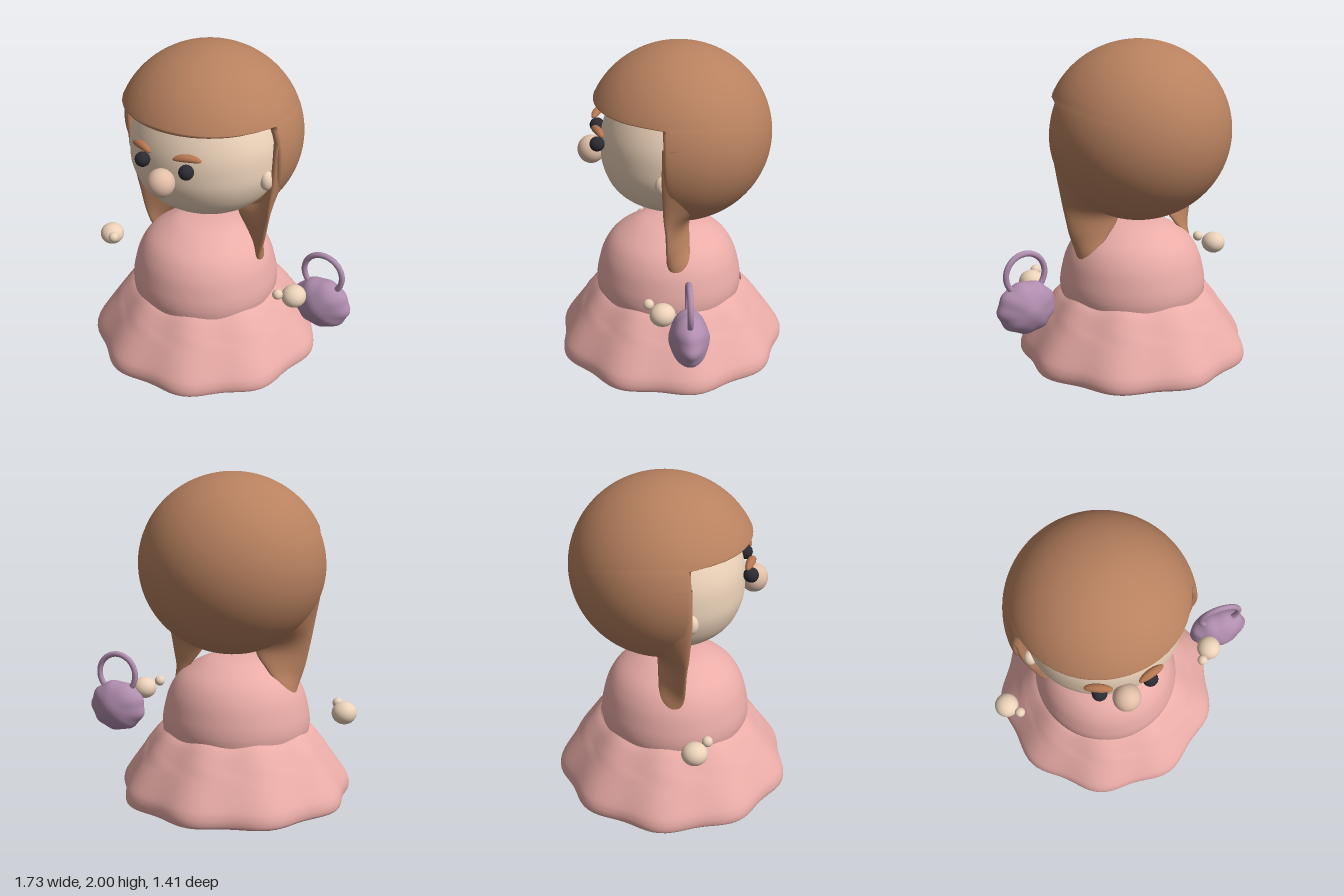
import * as THREE from 'three';
import { mergeVertices } from 'three/addons/utils/BufferGeometryUtils.js';

const CX = -0.117; // the figure's own centre line
const mat = (color, side = THREE.FrontSide) =>
  new THREE.MeshStandardMaterial({ color, side, roughness: 0.8 });
const HAIR = mat(0xb8815f, THREE.DoubleSide);
const SKIN = mat(0xecd2b9);
const NOSE = mat(0xe2bfa8);
const DRESS = mat(0xeaaca7, THREE.DoubleSide);
const BAG = mat(0xb08dae);
const EYE = mat(0x2b2b33);
const BROW = mat(0xb5764f);

function add(parent, name, geometry, material, x = 0, y = 0, z = 0) {
  const mesh = new THREE.Mesh(geometry, material);
  mesh.name = name;
  mesh.position.set(x, y, z);
  parent.add(mesh);
  return mesh;
}

const ball = (rx, ry = rx, rz = rx) => new THREE.SphereGeometry(1, 32, 24).scale(rx, ry, rz);

// Move every vertex by a rule, then weld and smooth
function deform(geometry, rule) {
  const p = geometry.attributes.position;
  const v = new THREE.Vector3();
  for (let i = 0; i < p.count; i++) {
    v.fromBufferAttribute(p, i);
    rule(v);
    p.setXYZ(i, v.x, v.y, v.z);
  }
  geometry.deleteAttribute('uv');
  geometry.deleteAttribute('normal');
  const welded = mergeVertices(geometry, 1e-5);
  welded.computeVertexNormals();
  return welded;
}

// Smooth lathe through a few [radius, y] points
function lathe(points, sides = 72, steps = 40) {
  const curve = new THREE.SplineCurve(points.map(([r, y]) => new THREE.Vector2(r, y)));
  const profile = curve.getPoints(steps);
  profile.forEach((q) => (q.x = Math.max(q.x, 0)));
  return new THREE.LatheGeometry(profile, sides);
}

// Closed rings of points: f(u, v), u wraps round, v runs along
function rings(f, nu, nv) {
  const pos = [];
  const index = [];
  for (let j = 0; j <= nv; j++)
    for (let i = 0; i < nu; i++) pos.push(...f(i / nu, j / nv));
  for (let j = 0; j < nv; j++)
    for (let i = 0; i < nu; i++) {
      const a = j * nu + i;
      const b = j * nu + ((i + 1) % nu);
      index.push(a, b, b + nu, a, b + nu, a + nu);
    }
  const g = new THREE.BufferGeometry();
  g.setAttribute('position', new THREE.Float32BufferAttribute(pos, 3));
  g.setIndex(index);
  const welded = mergeVertices(g, 1e-5);
  welded.computeVertexNormals();
  return welded;
}

// Hair cap: shell swept from the back pole to the edge of the face opening, then back inside
function hairCap() {
  const OUT = 40, RIM = 8, IN = 24, N = OUT + RIM + IN;
  return rings((u, v) => {
    const a = u * Math.PI * 2;
    const s = Math.sin(a);
    const cut = s > 0 ? 0.22 : 0.22 + 0.32 * s * Math.abs(s);
    let edge = Math.acos(-cut);
    if (s > 0.385) edge = Math.max(edge, Math.PI - Math.asin(0.385 / s));
    const k = Math.round(v * N);
    let phi, r;
    if (k <= OUT) {
      phi = (edge - 0.04) * (k / OUT);
      r = 1;
    } else if (k <= OUT + RIM) {
      const t = ((k - OUT) / RIM) * Math.PI;
      phi = edge - 0.04 + 0.04 * Math.sin(t);
      r = 0.955 + 0.045 * Math.cos(t);
    } else {
      phi = (edge - 0.04) * (1 - (k - OUT - RIM) / IN);
      r = 0.91;
    }
    return [
      0.565 * r * Math.sin(phi) * Math.cos(a),
      0.545 * r * Math.sin(phi) * s,
      -0.563 * r * Math.cos(phi),
    ];
  }, 128, N);
}

// Side lock: flat tapering sections from the front outer edge to the back inner edge
function hairLock() {
  const curve = (rows) => new THREE.CatmullRomCurve3(rows.map((r) => new THREE.Vector3(...r)));
  const front = curve([[0.52, 1.55, 0.04], [0.505, 1.32, 0.045], [0.465, 1.1, 0.04],
    [0.435, 0.95, 0.035], [0.415, 0.84, 0.03], [0.39, 0.74, 0.02], [0.38, 0.68, 0]]);
  const back = curve([[0.51, 1.55, -0.1], [0.48, 1.32, -0.12], [0.37, 1.1, -0.12],
    [0.2, 0.95, -0.09], [0.26, 0.84, -0.085], [0.34, 0.74, -0.08], [0.37, 0.68, -0.06]]);
  const ROWS = 36;
  return rings((u, v) => {
    const t = Math.min(v * (ROWS + 1) / ROWS, 1);
    const A = front.getPoint(t);
    const B = back.getPoint(t);
    const mid = A.clone().add(B).multiplyScalar(0.5);
    const half = A.clone().sub(B).multiplyScalar(0.5);
    half.y = 0;
    const w = half.length();
    const d = half.clone().normalize();
    const th = 0.034 - 0.014 * t;
    const closed = v > ROWS / (ROWS + 1) + 1e-6 ? 0 : 1; // last ring shuts the tip
    const a = u * Math.PI * 2;
    const c = Math.cos(a) * (w + th) * closed;
    const s = Math.sin(a) * th * 1.15 * closed;
    return [mid.x + d.x * c - d.z * s, mid.y, mid.z + d.z * c + d.x * s];
  }, 28, ROWS + 1);
}

// Skirt: thick flared cone, its hem swelling into nine soft folds
function skirt() {
  const outer = [[0.675, 0.006], [0.69, 0.025], [0.69, 0.07], [0.665, 0.13], [0.57, 0.28], [0.49, 0.39], [0.45, 0.43]];
  const inner = [[0.425, 0.41], [0.46, 0.37], [0.54, 0.26], [0.63, 0.12], [0.65, 0.04], [0.655, 0.008]];
  return deform(lathe([...inner, ...outer], 108, 60), (v) => {
    const a = Math.atan2(v.x, -v.z);
    const low = 1 - v.y / 0.43;
    const k = 1 + 0.012 * low + 0.03 * Math.cos(9 * a) * (0.15 + 0.85 * low);
    v.x *= k;
    v.z *= k;
    if (v.y > 0.3) v.y += 0.008 * Math.cos(9 * a);
  });
}

// Bag: plump flattened pouch with shallow ribs, narrowing to its side seams
function bagBody() {
  return deform(new THREE.SphereGeometry(1, 48, 32), (v) => {
    const a = Math.atan2(v.y, v.x);
    const k = 1 + 0.025 * Math.cos(9 * a + 0.6) * Math.hypot(v.x, v.y);
    const pinch = 1 - 0.25 * v.x * v.x + 0.04 * Math.cos(5 * v.y) * Math.cos(6 * v.x);
    v.set(v.x * 0.186 * k, v.y * 0.16 * k, v.z * 0.117 * pinch);
  });
}

export function createModel() {
  const model = new THREE.Group();
  model.name = 'figure';
  const body = new THREE.Group();
  body.name = 'body';
  body.position.x = CX;
  model.add(body);

  // Dress
  add(body, 'skirt', skirt(), DRESS);
  const top = lathe([[0.45, 0.41], [0.455, 0.47], [0.445, 0.55], [0.41, 0.67], [0.34, 0.77], [0.21, 0.85], [0.1, 0.877], [0, 0.882]]);
  add(body, 'dressTop', top, DRESS, 0, 0, 0.012);

  // Head
  const head = lathe([[0, 0.955], [0.09, 0.972], [0.26, 1.035], [0.39, 1.13], [0.455, 1.26], [0.465, 1.38],
    [0.45, 1.5], [0.395, 1.63], [0.31, 1.75], [0.18, 1.84], [0, 1.87]]);
  add(body, 'head', head.scale(1, 1, 0.91), SKIN);
  add(body, 'nose', ball(0.083, 0.087, 0.083), NOSE, 0, 1.345, 0.48);
  for (const s of [-1, 1]) {
    const side = s > 0 ? 'left' : 'right';
    add(body, side + 'Eye', ball(0.045), EYE, s * 0.15, 1.44, 0.442);
    add(body, side + 'Ear', ball(0.04, 0.06, 0.045), SKIN, s * 0.465, 1.3, 0.07);
    // Brow: flat-bottomed lens turned to follow the forehead
    const brow = deform(ball(0.084, 0.026, 0.026), (v) => {
      if (v.y < 0) v.y *= 0.7;
      v.y -= 1.5 * v.x * v.x;
    });
    const b = add(body, side + 'Brow', brow, BROW, s * 0.155, 1.527, 0.437);
    b.rotation.y = s * 0.35;
  }

  // Hair
  const hair = new THREE.Group();
  hair.name = 'hair';
  body.add(hair);
  add(hair, 'hairCap', hairCap(), HAIR, 0, 1.455, -0.052);
  for (const s of [-1, 1])
    add(hair, s > 0 ? 'leftLock' : 'rightLock', hairLock(), HAIR).scale.x = s;

  // Floating hands with thumbs
  for (const s of [-1, 1]) {
    const side = s > 0 ? 'left' : 'right';
    add(body, side + 'Hand', ball(0.075, 0.068, 0.077), SKIN, s * 0.676, 0.567, 0.083);
    add(body, side + 'Thumb', ball(0.032), SKIN, s * 0.607, 0.6, 0.162);
  }

  // Handbag
  const bag = new THREE.Group();
  bag.name = 'handbag';
  bag.position.set(0.675, 0.475, -0.066);
  model.add(bag);
  add(bag, 'bagBody', bagBody(), BAG);
  add(bag, 'bagHandle', new THREE.TorusGeometry(0.127, 0.018, 14, 48), BAG, 0, 0.21, 0);

  return model;
}
